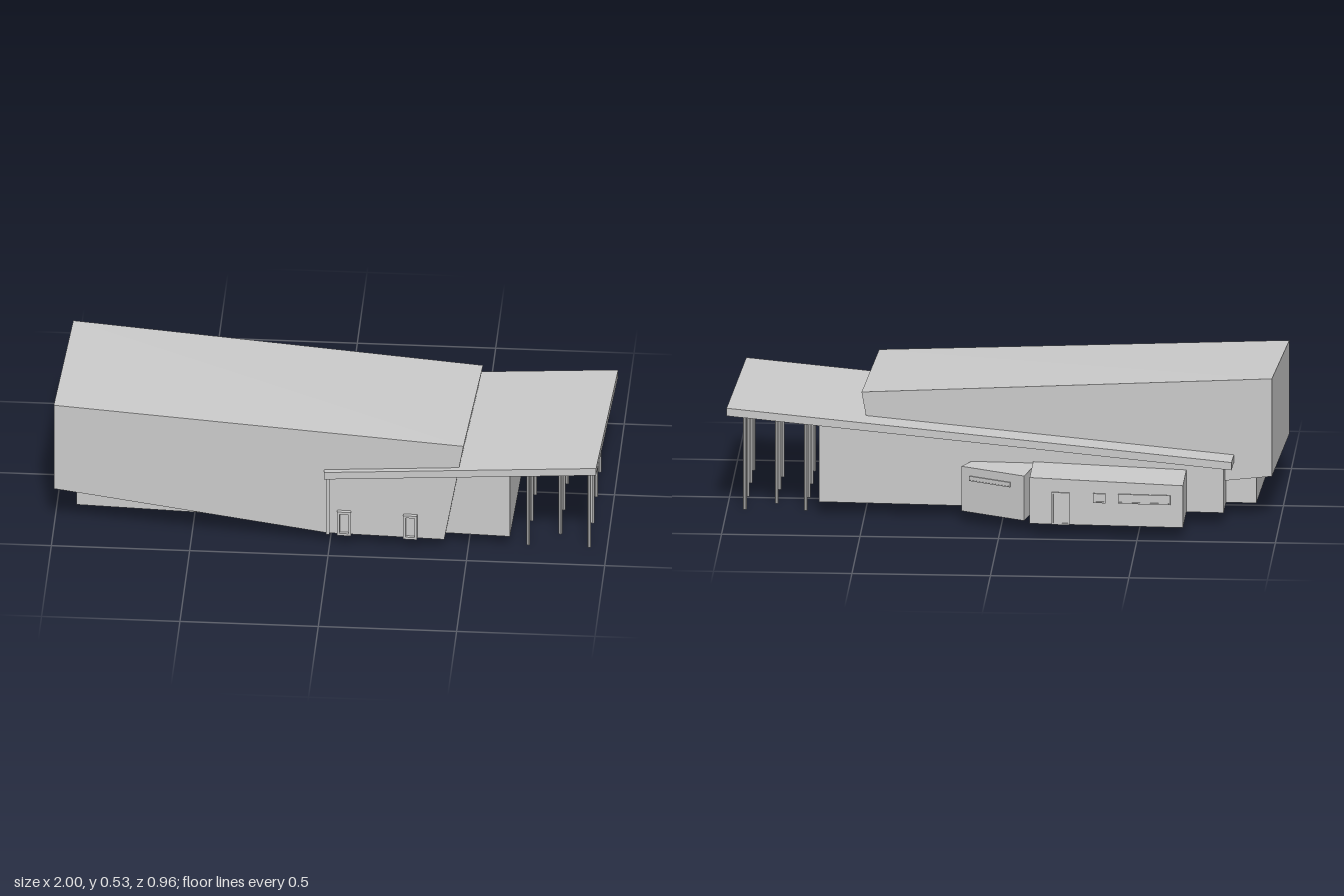
import * as THREE from 'three';

const material = new THREE.MeshStandardMaterial({ color: 0xcccccc, flatShading: true });

function add(parent, name, geometry) {
  const mesh = new THREE.Mesh(geometry, material);
  mesh.name = name;
  parent.add(mesh);
  return mesh;
}

// Plan outline [x, z] raised between a bottom and a top height rule
function prism(plan, bottom, top) {
  const shape = new THREE.Shape(plan.map(([x, z]) => new THREE.Vector2(x, -z)));
  const geo = new THREE.ExtrudeGeometry(shape, { depth: 1, bevelEnabled: false }).rotateX(-Math.PI / 2);
  const p = geo.attributes.position;
  for (let i = 0; i < p.count; i++) p.setY(i, (p.getY(i) > 0.5 ? top : bottom)(p.getX(i)));
  geo.computeVertexNormals();
  return geo;
}

// Framed opening on a wall running from plan point a to b (outside on its right hand)
function opening(parent, name, a, b, u0, u1, y0, y1, rim, depth) {
  const w = u1 - u0, h = y1 - y0;
  const rect = (Type, x0, yb, x1, yt) => new Type([
    new THREE.Vector2(x0, yb), new THREE.Vector2(x1, yb), new THREE.Vector2(x1, yt), new THREE.Vector2(x0, yt)]);
  const frame = rect(THREE.Shape, 0, 0, w, h);
  frame.holes.push(rect(THREE.Path, rim, rim, w - rim, h - rim));
  const group = new THREE.Group();
  group.name = name;
  add(group, name + 'Frame', new THREE.ExtrudeGeometry(frame, { depth, bevelEnabled: false }));
  add(group, name + 'Panel', new THREE.BoxGeometry(w - rim, h - rim, 0.004)).position.set(w / 2, h / 2, 0.001);
  const dx = b[0] - a[0], dz = b[1] - a[1], len = Math.hypot(dx, dz);
  group.position.set(a[0] + dx * u0 / len, y0, a[1] + dz * u0 / len);
  group.rotation.y = Math.atan2(-dz, dx);
  parent.add(group);
}

export function createModel() {
  const model = new THREE.Group();
  const floor = 0.045;
  const ground = () => floor;
  const roofTop = x => 0.311 + 0.083 * x;
  const roofUnder = x => roofTop(x) - 0.029;

  // Tall hall: side profile swept back, slightly skewed in plan
  const profile = [[-1, 0.165], [-0.01, floor], [0.415, floor], [0.485, 0.44], [-1, 0.515]];
  const hall = new THREE.ExtrudeGeometry(
    new THREE.Shape(profile.map(([x, y]) => new THREE.Vector2(x, y))), { depth: 1, bevelEnabled: false });
  const hallFront = x => 0.435 + (x - 0.485) * 0.0404;
  const p = hall.attributes.position;
  for (let i = 0; i < p.count; i++) {
    const x = p.getX(i), y = p.getY(i), back = p.getZ(i) < 0.5;
    p.setXYZ(i, x + (back ? 0.03 : 0), y + (back && y > 0.5 ? 0.015 : 0), hallFront(x) - (back ? 0.575 : 0));
  }
  hall.computeVertexNormals();
  add(model, 'tallHall', hall);

  // Low building beneath the sloping roof
  add(model, 'lowBuilding', prism([
    [-0.925, 0.28], [0, 0.33], [0.2, 0.375], [0.65, 0.395], [0.665, -0.205],
    [-0.8, -0.27], [-0.8, -0.13], [-0.91, -0.13]], ground, roofUnder));

  // Sloping roof slab with overhang
  add(model, 'slopingRoof', prism([
    [-0.83, -0.3], [-0.835, -0.1], [-0.015, 0.3], [-0.02, 0.435], [0.967, 0.475], [0.998, -0.22]],
    roofUnder, roofTop));

  // Fin wall carrying the free corner of the roof
  add(model, 'finWall', prism([
    [-0.012, 0.38], [-0.012, 0.428], [0, 0.428], [0, 0.38]], ground, roofUnder));

  // Rear annex and its angled wing
  const annexTop = x => 0.217 + 0.027 * (x + 0.11);
  add(model, 'rearAnnex', prism([
    [-0.665, -0.478], [-0.665, -0.24], [-0.11, -0.22], [-0.11, -0.453]], ground, annexTop));
  add(model, 'angledWing', prism([
    [-0.088, -0.417], [-0.13, -0.2], [0.1, -0.2], [0.145, -0.298]], ground, () => 0.212));

  // Front doors
  const f0 = [0, hallFront(0)], f1 = [0.4, hallFront(0.4)];
  for (const x of [0.028, 0.268]) opening(model, 'frontDoor', f0, f1, x, x + 0.05, floor, 0.143, 0.009, 0.014);

  // Rear door and windows
  const r0 = [-0.11, -0.453], r1 = [-0.665, -0.478];
  opening(model, 'rearDoor', r0, r1, 0.08, 0.145, floor, 0.165, 0.006, 0.006);
  opening(model, 'smallWindow', r0, r1, 0.23, 0.275, 0.13, 0.165, 0.005, 0.006);
  opening(model, 'longWindow', r0, r1, 0.32, 0.51, 0.13, 0.165, 0.005, 0.006);
  opening(model, 'wingWindow', [0.145, -0.298], [-0.088, -0.417], 0.035, 0.205, 0.163, 0.181, 0.003, 0.005);

  // Columns in three staggered rows under the overhang
  const outer = [0.37, 0.2, 0.015, -0.16], inner = [0.285, 0.115, -0.07];
  for (const [x, row] of [[0.715, outer], [0.825, inner], [0.935, outer]]) {
    const h = roofUnder(x) + 0.005;
    for (const z of row) add(model, 'column', new THREE.CylinderGeometry(0.0065, 0.0065, h, 8)).position.set(x, h / 2, z);
  }
  return model;
}
